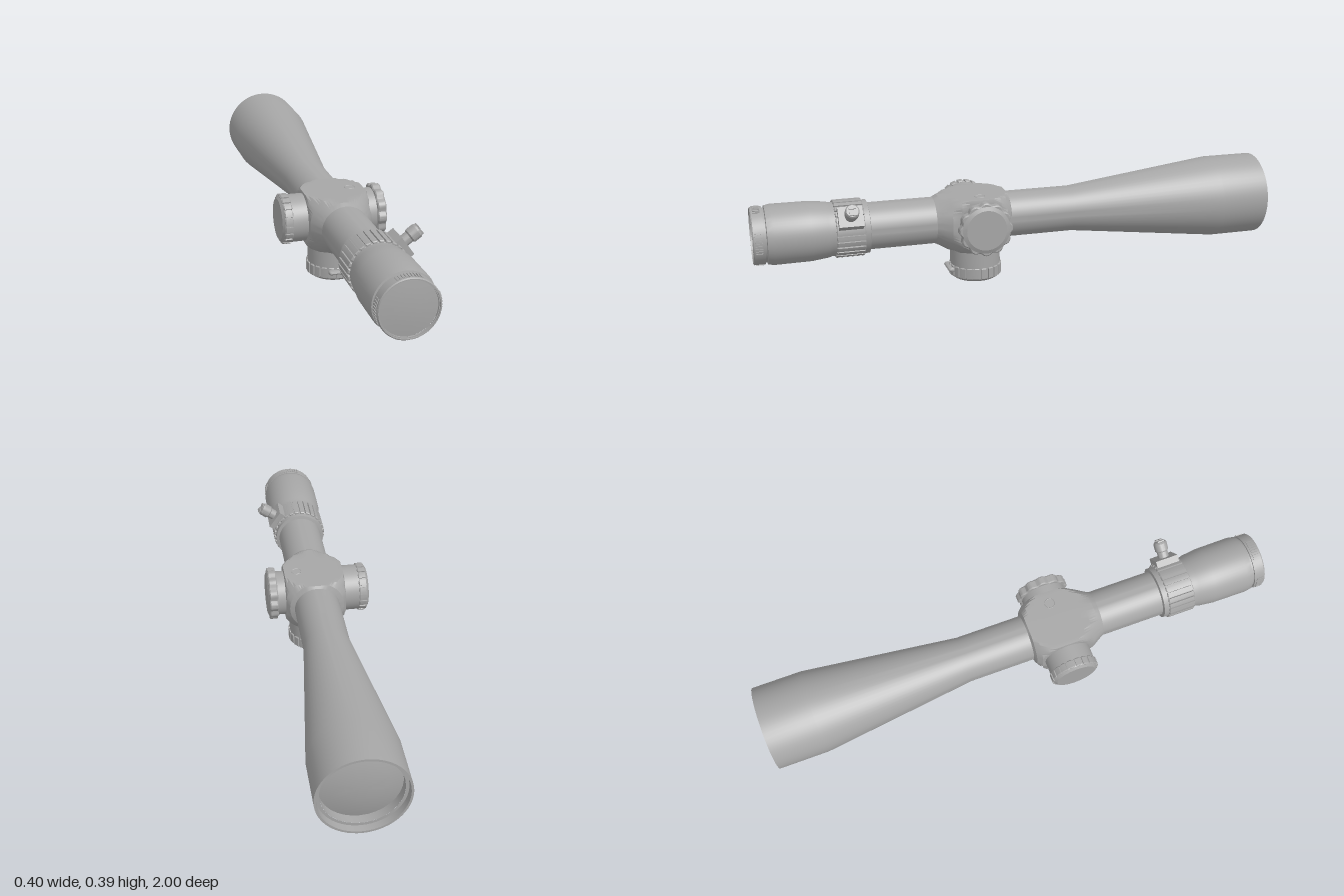
import * as THREE from 'three';
import { toCreasedNormals } from 'three/addons/utils/BufferGeometryUtils.js';

const CX = 0.012, CY = 0.234, KZ = 0.165; // optical axis and turret station

export function createModel() {
  const metal = new THREE.MeshStandardMaterial({ color: 0xa6a6a6 });
  metal.name = 'grey metal';
  const root = new THREE.Group();
  root.name = 'scope';

  const add = (parent, name, geo, crease = 0.5) => {
    const mesh = new THREE.Mesh(toCreasedNormals(geo, crease), metal);
    mesh.name = name;
    parent.add(mesh);
    return mesh;
  };
  const group = (name, x, y, z) => {
    const g = new THREE.Group();
    g.name = name;
    g.position.set(x, y, z);
    root.add(g);
    return g;
  };
  // Turned part around y, profile given as [radius, height] from bottom to top
  const lathe = (pts, seg = 48) =>
    new THREE.LatheGeometry(pts.map(([r, h]) => new THREE.Vector2(r, h)), seg);
  // Extruded outline r(angle) between heights y0 and y1, with chamfered ends
  const prism = (outline, y0, y1, bevel) => {
    const shape = new THREE.Shape(outline.map(([a, r]) =>
      new THREE.Vector2(r * Math.cos(a), r * Math.sin(a))));
    return new THREE.ExtrudeGeometry(shape, {
      depth: y1 - y0 - 2 * bevel, bevelEnabled: bevel > 0, bevelThickness: bevel,
      bevelSize: bevel, bevelOffset: -bevel, bevelSegments: 1,
    }).translate(0, 0, y0 + bevel).rotateX(-Math.PI / 2);
  };
  // Outline with n wide ribs separated by narrow slots
  const ribbed = (n, rOut, rIn, slot) => {
    const out = [], step = 2 * Math.PI / n;
    for (let i = 0; i < n; i++) {
      [[0, rIn], [slot * 0.95, rIn], [slot, rOut], [(1 + slot) / 2, rOut], [0.99, rOut]]
        .forEach(([f, r]) => out.push([(i + f) * step, r]));
    }
    return out;
  };
  const scalloped = (n, rOut, depth) => Array.from({ length: n * 8 }, (_, i) => {
    const a = i / (n * 8) * 2 * Math.PI;
    return [a, rOut - depth * Math.pow(0.5 - 0.5 * Math.cos(n * a), 1.5)];
  });

  // Main tube with objective bell and recessed front lens
  const optics = group('optics', CX, CY, 0);
  add(optics, 'mainTube', lathe([
    [0.139, -0.975], [0.15, -0.975], [0.152, -1], [0.16, -1], [0.16, -0.81],
    [0.088, -0.215], [0.088, 0.62],
  ], 56).rotateX(Math.PI / 2), 0.3);
  add(optics, 'objectiveLens', lathe([
    [0, -0.962], [0.05, -0.96], [0.1, -0.953], [0.139, -0.942], [0.139, -0.975],
  ], 32).rotateX(Math.PI / 2));

  // Eyepiece with stepped rim and rear lens
  add(optics, 'eyepiece', lathe([
    [0.088, 0.575], [0.1, 0.578], [0.1, 0.715], [0.104, 0.73], [0.111, 0.79], [0.112, 0.925],
    [0.108, 0.948], [0.1, 0.95], [0.1, 0.957], [0.106, 0.957], [0.106, 0.996],
    [0.103, 1], [0.1, 1], [0.1, 0.995], [0.097, 0.995], [0.097, 0.988],
  ], 56).rotateX(Math.PI / 2), 0.4);
  add(optics, 'eyepieceLens', lathe([
    [0.098, 0.986], [0.06, 0.99], [0, 0.992],
  ]).rotateX(Math.PI / 2));
  // Grip ridges on four sides of the rim
  for (let side = 0; side < 4; side++) {
    for (let i = -4; i <= 4; i++) {
      const a = side * Math.PI / 2 + i * 0.095;
      add(optics, 'rimRidge', new THREE.BoxGeometry(0.006, 0.005, 0.026)
        .translate(0, 0.1065, 0.978).rotateZ(a));
    }
  }

  // Magnification ring with throw lever
  add(optics, 'zoomRing', prism(ribbed(28, 0.108, 0.101, 0.25), 0.597, 0.703, 0.003)
    .rotateX(Math.PI / 2), 0.4);
  const lever = new THREE.Group();
  lever.name = 'throwLever';
  lever.position.z = 0.65;
  lever.rotation.z = -0.95;
  optics.add(lever);
  add(lever, 'leverBase', new THREE.BoxGeometry(0.078, 0.04, 0.09).translate(0, 0.107, 0));
  add(lever, 'leverStem', lathe([
    [0.021, 0.12], [0.021, 0.15], [0.026, 0.155], [0.026, 0.183], [0.022, 0.19], [0, 0.19],
  ], 24));
  for (const s of [-1, 1]) {
    add(lever, 'leverTip', new THREE.BoxGeometry(0.012, 0.008, 0.026)
      .translate(s * 0.012, 0.192, 0));
  }

  // Turret saddle: round sections trimmed flat on top, bottom and sides
  const sections = [[0.33, 0.087], [0.31, 0.097], [0.275, 0.118], [0.24, 0.138], [0.21, 0.15],
    [0.12, 0.15], [0.09, 0.14], [0.065, 0.124], [0.047, 0.106], [0.04, 0.087]];
  const N = 72, pos = [], idx = [];
  sections.forEach(([z, r], j) => {
    for (let i = 0; i < N; i++) {
      const a = i / N * 2 * Math.PI;
      pos.push(THREE.MathUtils.clamp(r * Math.cos(a), -0.117, 0.117),
        THREE.MathUtils.clamp(r * Math.sin(a), -0.118, 0.097), z);
      if (j === 0) continue;
      const k = (i + 1) % N, p = (j - 1) * N, q = j * N;
      idx.push(p + i, q + i, p + k, p + k, q + i, q + k);
    }
  });
  const saddle = new THREE.BufferGeometry();
  saddle.setAttribute('position', new THREE.Float32BufferAttribute(pos, 3));
  saddle.setIndex(idx);
  add(optics, 'turretSaddle', saddle, 0.4);
  add(optics, 'topMark', new THREE.TorusGeometry(0.019, 0.0015, 4, 24)
    .rotateX(Math.PI / 2).translate(0.066, 0.097, 0.16));

  // Side turret on -x with ribbed cap
  const right = group('ribbedTurret', CX, CY, KZ);
  right.rotation.z = Math.PI / 2;
  add(right, 'turretNeck', lathe([[0.089, 0.08], [0.089, 0.175]]));
  add(right, 'turretCap', prism(ribbed(20, 0.094, 0.089, 0.3), 0.172, 0.205, 0.004), 0.4);
  add(right, 'turretFace', lathe([[0.09, 0.2], [0.088, 0.204], [0.077, 0.212], [0, 0.212]]), 0.3);

  // Side turret on +x with scalloped knob
  const left = group('scallopedTurret', CX, CY, KZ);
  left.rotation.z = -Math.PI / 2;
  add(left, 'turretNeck', lathe([[0.086, 0.08], [0.086, 0.155]]));
  add(left, 'turretKnob', prism(scalloped(12, 0.102, 0.009), 0.148, 0.181, 0.004), 0.5);
  add(left, 'turretFace', lathe([[0.092, 0.178], [0.09, 0.181], [0.076, 0.187], [0, 0.187]]), 0.3);

  // Lower turret with ribbed cap, recessed centre and index plate
  const lower = group('lowerTurret', CX, CY, KZ);
  lower.rotation.x = Math.PI;
  add(lower, 'turretNeck', lathe([[0.096, 0.09], [0.096, 0.185]]));
  add(lower, 'turretCap', prism(ribbed(22, 0.101, 0.096, 0.25), 0.18, 0.224, 0.003), 0.4);
  add(lower, 'turretFace', lathe([
    [0.098, 0.22], [0.096, 0.225], [0.084, 0.234], [0.042, 0.234], [0.036, 0.222], [0, 0.222],
  ]), 0.3);
  const pill = new THREE.CapsuleGeometry(0.009, 0.072, 4, 12).rotateZ(Math.PI / 2);
  add(lower, 'indexPlate', pill.scale(1, 1, 1.6).translate(0, 0.195, -0.1));

  return root;
}
